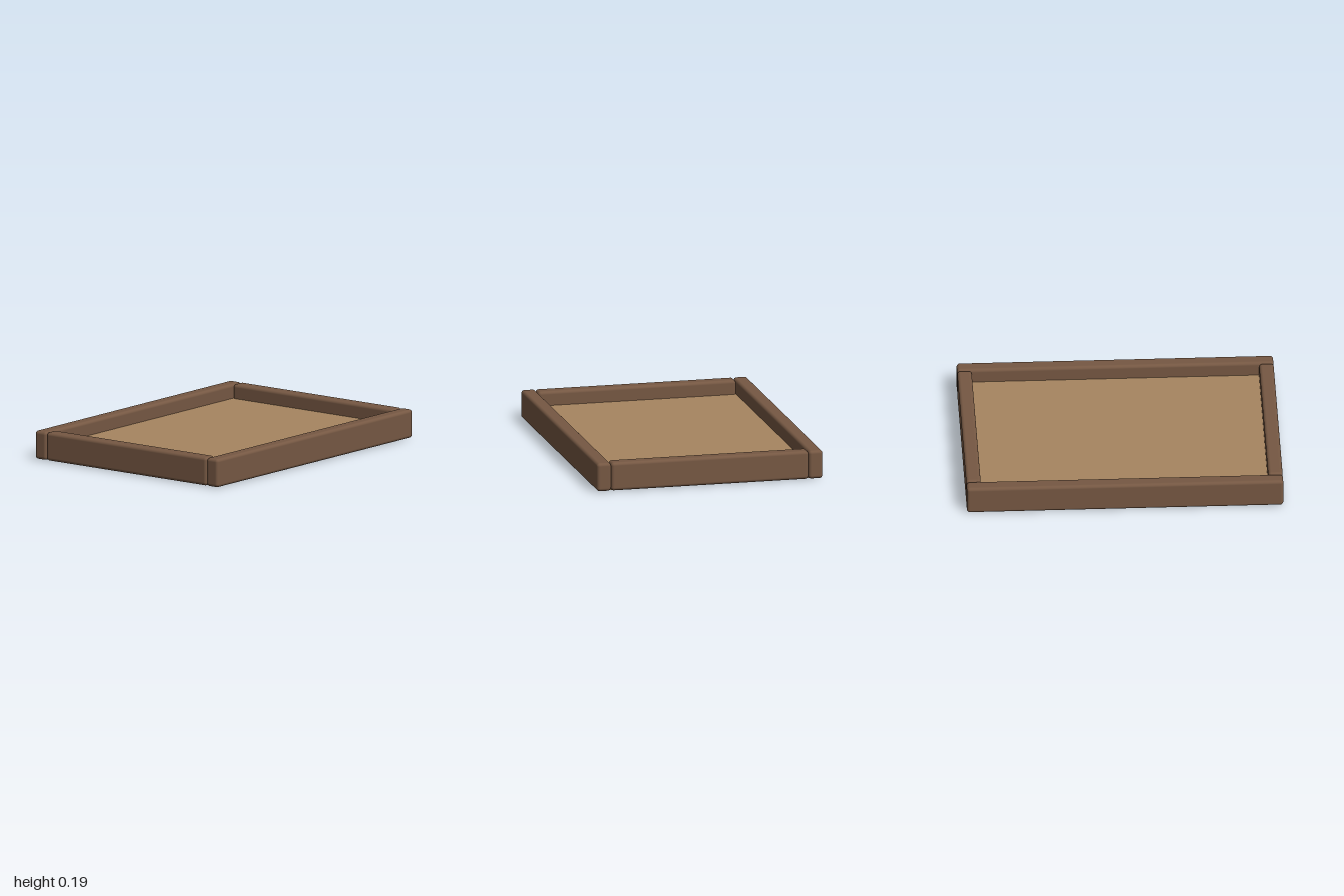
import * as THREE from 'three';
import { RoundedBoxGeometry } from 'three/addons/geometries/RoundedBoxGeometry.js';

const WIDTH = 2, DEPTH = 1.47, HEIGHT = 0.185, RAIL = 0.092, LIFT = 0.003;

export function createModel() {
  const group = new THREE.Group();
  const darkWood = new THREE.MeshStandardMaterial({ color: 0x765843 });
  darkWood.name = 'dark wood';
  const sand = new THREE.MeshStandardMaterial({ color: 0xa78560 });
  sand.name = 'tan floor';

  function add(name, geometry, material, x, y, z) {
    const mesh = new THREE.Mesh(geometry, material);
    mesh.name = name;
    mesh.position.set(x, y, z);
    group.add(mesh);
  }

  // Softly rounded rails: long ones across front and back, short ones between
  const h = HEIGHT - LIFT, y = LIFT + h / 2;
  const longRail = new RoundedBoxGeometry(WIDTH, h, RAIL, 4, 0.02);
  const shortRail = new RoundedBoxGeometry(RAIL, h, DEPTH - 2 * RAIL, 4, 0.02);
  for (const side of [1, -1]) {
    add(side > 0 ? 'frontRail' : 'backRail', longRail, darkWood, 0, y, side * (DEPTH - RAIL) / 2);
    add(side > 0 ? 'leftRail' : 'rightRail', shortRail, darkWood, side * (WIDTH - RAIL) / 2, y, 0);
  }

  // Floor slab reaching to the middle of each rail
  const thick = 0.094;
  add('floor', new THREE.BoxGeometry(WIDTH - RAIL, thick, DEPTH - RAIL), sand, 0, thick / 2, 0);
  return group;
}
